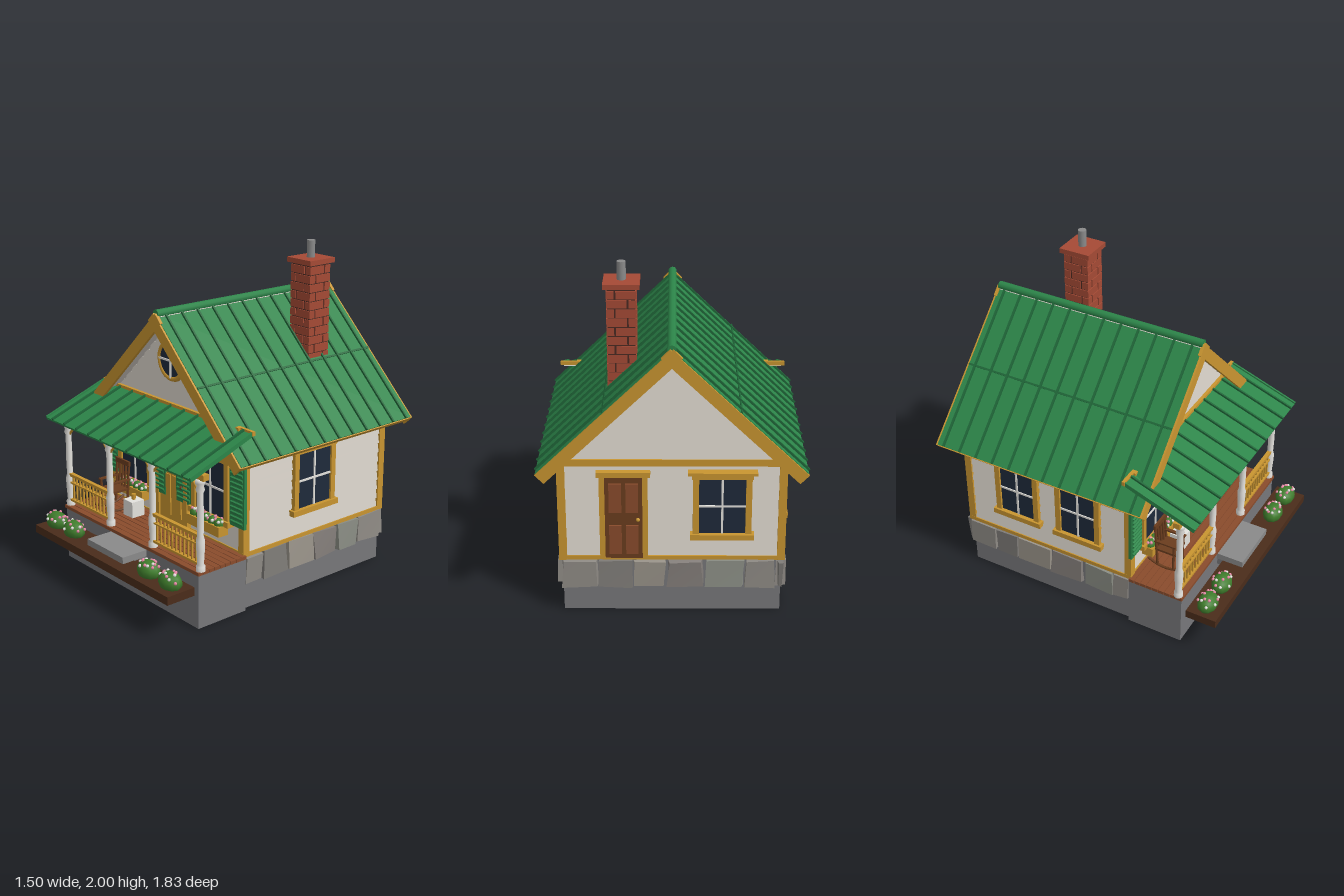
import * as THREE from 'three';

const mat = (color) => new THREE.MeshStandardMaterial({ color });
const M = {
  green: mat(0x2c8549), rib: mat(0x1f6638), gold: mat(0xc99530), siding: mat(0xd5cfc6), white: mat(0xe4e2dd),
  glass: mat(0x1f2a3b), base: mat(0x77777a), deck: mat(0x8a4c2c), soil: mat(0x4a2c1a), wood: mat(0x6b3d1e),
  brick: mat(0xa54a35), mortar: mat(0x4a2a22), leaf: mat(0x3f7d2c), pink: mat(0xe58aa5), metal: mat(0x8a8a8a),
};
const stones = [0x8f8b85, 0x7f7c78, 0x9a948a, 0x86807c, 0x8c8f86].map(mat);
let seed = 7;
const rnd = () => (seed = (seed * 16807) % 2147483647) / 2147483647;

function add(parent, name, geo, material, x = 0, y = 0, z = 0) {
  const m = new THREE.Mesh(geo, material);
  m.name = name;
  m.position.set(x, y, z);
  parent.add(m);
  return m;
}
const box = (p, name, m, w, h, d, x, y, z) => add(p, name, new THREE.BoxGeometry(w, h, d), m, x, y, z);
function group(parent, name, x = 0, y = 0, z = 0, ry = 0) {
  const g = new THREE.Group();
  g.name = name;
  g.position.set(x, y, z);
  g.rotation.y = ry;
  parent.add(g);
  return g;
}
function rod(p, name, m, a, b, r) {
  const A = new THREE.Vector3(...a), d = new THREE.Vector3(...b).sub(A);
  const c = add(p, name, new THREE.CylinderGeometry(r, r, d.length(), 8), m);
  c.position.copy(A).addScaledVector(d, 0.5);
  c.quaternion.setFromUnitVectors(new THREE.Vector3(0, 1, 0), d.normalize());
}

// House dimensions
const HW = 0.62, ZF = 0.34, ZB = -0.78, ZC = (ZF + ZB) / 2, APEX = 1.655, SLOPE = 0.966;
const BH = 0.06;

// Wedge shaped clapboard facing +z
function clapboard(p, len, y, z = 0) {
  const s = new THREE.Shape([[0, 0], [0.014, 0], [0.003, BH], [0, BH]].map((c) => new THREE.Vector2(...c)));
  const g = new THREE.ExtrudeGeometry(s, { depth: len, bevelEnabled: false });
  g.translate(0, 0, -len / 2).rotateY(-Math.PI / 2);
  add(p, 'clapboard', g, M.siding, 0, y, z);
}

// Sash window facing +z, origin at its centre
function windowUnit(p, x, y, z, ry, w = 0.26, h = 0.34) {
  const g = group(p, 'window', x, y, z, ry), t = 0.034;
  box(g, 'windowGlass', M.glass, w, h, 0.02, 0, 0, 0.012);
  for (const s of [-1, 1]) box(g, 'windowSideTrim', M.gold, t, h + 2 * t, 0.04, s * (w + t) / 2, 0, 0.015);
  box(g, 'windowSill', M.gold, w + 0.1, t, 0.055, 0, -(h + t) / 2, 0.02);
  box(g, 'windowHeader', M.gold, w + 0.08, t, 0.045, 0, (h + t) / 2, 0.015);
  box(g, 'windowCap', M.gold, w + 0.125, 0.016, 0.07, 0, h / 2 + t + 0.006, 0.02);
  box(g, 'muntin', M.white, 0.012, h, 0.012, 0, 0, 0.022);
  box(g, 'muntin', M.white, w, 0.012, 0.012, 0, 0, 0.022);
}

// Leafy mound with flower dots
function flowers(p, x, y, z, rx, ry, rz, n) {
  const g = group(p, 'flowerBush', x, y, z);
  add(g, 'leaves', new THREE.SphereGeometry(1, 10, 7), M.leaf).scale.set(rx, ry, rz);
  for (let i = 0; i < n; i++) {
    const a = i * 2.4, e = 0.25 + rnd() * 0.9;
    add(g, 'flower', new THREE.SphereGeometry(0.01, 6, 5), i % 3 ? M.pink : M.white,
      rx * Math.cos(a) * Math.cos(e), ry * Math.sin(e), rz * Math.sin(a) * Math.cos(e));
  }
}

function buildBase(root) {
  const g = group(root, 'foundation');
  box(g, 'houseFoundation', M.base, 2 * HW, 0.335, ZF - ZB, 0, 0.1675, ZC);
  box(g, 'porchFoundation', M.base, 1.29, 0.325, 0.35, 0, 0.1625, 0.515);
  // irregular facing stones, one row per wall
  const row = (x, z, ry, len) => {
    const r = group(g, 'stoneRow', x, 0.245, z, ry);
    for (let u = -len / 2, i = 0; u < len / 2 - 0.03; i++) {
      const w = Math.min(0.14 + rnd() * 0.1, len / 2 - u);
      const geo = new THREE.BoxGeometry(w - 0.015, 0.165, 0.06), P = geo.attributes.position;
      const j = Array.from({ length: 8 }, () => (rnd() - 0.5) * 0.024);
      for (let k = 0; k < P.count; k++) {
        const c = (P.getX(k) > 0 ? 1 : 0) + (P.getY(k) > 0 ? 2 : 0) + (P.getZ(k) > 0 ? 4 : 0);
        P.setXYZ(k, P.getX(k) + j[c], P.getY(k) + j[(c + 3) % 8] * 0.6, P.getZ(k) + j[(c + 5) % 8] * 0.7);
      }
      geo.computeVertexNormals();
      add(r, 'stone', geo, stones[i % 5], u + w / 2, 0, 0);
      u += w;
    }
  };
  row(HW, ZC, Math.PI / 2, 1.14);
  row(-HW, ZC, -Math.PI / 2, 1.14);
  row(0, ZB, Math.PI, 1.26);
}

function buildWalls(root) {
  const g = group(root, 'house');
  const s = new THREE.Shape([[-HW, 0.335], [HW, 0.335], [HW, 1.01], [0, 1.61], [-HW, 1.01]].map((c) => new THREE.Vector2(...c)));
  add(g, 'wallCore', new THREE.ExtrudeGeometry(s, { depth: ZF - ZB - 0.02, bevelEnabled: false }), M.siding, 0, 0, ZB + 0.01);
  for (const k of [1, -1]) {
    const side = group(g, 'sideWall', k * HW, 0, ZC, k * Math.PI / 2);
    for (let y = 0.35; y < 0.93; y += BH) clapboard(side, ZF - ZB, y);
    box(side, 'sillBoard', M.gold, ZF - ZB + 0.03, 0.025, 0.04, 0, 0.343, 0);
    box(side, 'friezeBoard', M.gold, ZF - ZB + 0.03, 0.04, 0.04, 0, 0.94, 0);
    const end = group(g, k > 0 ? 'frontWall' : 'backWall', 0, 0, k > 0 ? ZF - 0.01 : ZB + 0.01, k > 0 ? 0 : Math.PI);
    for (let y = 0.35; y < 1.55; y += BH) clapboard(end, 2 * Math.min(HW, (1.61 - y - BH / 2) / SLOPE), y);
    box(end, 'sillBoard', M.gold, 2 * HW, 0.025, 0.04, 0, 0.343, 0);
    box(end, 'gableBeam', M.gold, 2 * HW + 0.02, 0.04, 0.045, 0, 0.94, 0);
    for (const e of [1, -1]) box(g, 'cornerBoard', M.gold, 0.045, 0.6, 0.045, k * (HW - 0.003), 0.635, e > 0 ? ZF - 0.008 : ZB + 0.008);
  }
  windowUnit(g, HW, 0.69, -0.19, Math.PI / 2);
  for (const z of [-0.42, 0.0]) windowUnit(g, -HW, 0.69, z, -Math.PI / 2, 0.23);
  windowUnit(g, -0.28, 0.68, ZB, Math.PI);
  // back door
  const b = group(g, 'backDoor', 0.27, 0, ZB, Math.PI);
  box(b, 'doorLeaf', M.wood, 0.21, 0.51, 0.03, 0, 0.605, 0.008);
  for (const s of [-1, 1]) {
    box(b, 'doorTrim', M.gold, 0.03, 0.54, 0.045, s * 0.12, 0.62, 0.012);
    for (const y of [0.47, 0.73]) box(b, 'doorPanel', M.deck, 0.07, 0.18, 0.01, s * 0.047, y, 0.025);
  }
  box(b, 'doorHeader', M.gold, 0.3, 0.03, 0.05, 0, 0.88, 0.015);
  add(b, 'doorKnob', new THREE.SphereGeometry(0.012, 8, 6), M.gold, 0.08, 0.6, 0.035);
  // front door
  const d = group(g, 'frontDoor', 0, 0, ZF);
  box(d, 'doorLeaf', M.gold, 0.24, 0.53, 0.03, 0, 0.61, 0.005);
  box(d, 'doorGlass', M.glass, 0.15, 0.15, 0.01, 0, 0.79, 0.02);
  box(d, 'doorMuntin', M.gold, 0.01, 0.15, 0.012, 0, 0.79, 0.022);
  for (const s of [-1, 1]) {
    box(d, 'doorTrim', M.gold, 0.035, 0.55, 0.045, s * 0.135, 0.62, 0.01);
    box(d, 'doorPanel', M.gold, 0.08, 0.26, 0.012, s * 0.05, 0.52, 0.022);
  }
  box(d, 'doorHeader', M.gold, 0.33, 0.03, 0.05, 0, 0.9, 0.012);
  add(d, 'doorKnob', new THREE.SphereGeometry(0.012, 8, 6), M.wood, 0.1, 0.6, 0.03);
  // front windows with louvred shutters and flower boxes
  for (const s of [-1, 1]) {
    windowUnit(g, s * 0.36, 0.69, ZF, 0);
    for (const [x, w] of [[0.598, 0.125], [0.122, 0.14]]) {
      const sh = group(g, 'shutter', s * x, 0.695, ZF + 0.02);
      box(sh, 'shutterPanel', M.green, w, 0.37, 0.02, 0, 0, 0);
      for (let i = 0; i < 12; i++) box(sh, 'louvre', M.green, w - 0.025, 0.02, 0.01, 0, -0.16 + i * 0.029, 0.01).rotation.x = 0.5;
    }
    box(g, 'flowerBox', M.gold, 0.29, 0.06, 0.07, s * 0.36, 0.46, ZF + 0.05);
    for (let i = -2; i <= 2; i++) flowers(g, s * 0.36 + i * 0.054, 0.495, ZF + 0.05, 0.034, 0.034, 0.03, 6);
  }
  // round gable window
  const r = group(g, 'roundWindow', 0, 1.355, ZF + 0.01);
  add(r, 'roundGlass', new THREE.CylinderGeometry(0.105, 0.105, 0.02, 24).rotateX(Math.PI / 2), M.glass);
  add(r, 'roundFrame', new THREE.TorusGeometry(0.11, 0.017, 8, 24), M.gold);
  box(r, 'muntin', M.white, 0.012, 0.21, 0.015, 0, 0, 0.01);
  box(r, 'muntin', M.white, 0.21, 0.012, 0.015, 0, 0, 0.01);
  // wall lantern
  const l = group(g, 'lantern', 0.205, 0.72, ZF + 0.05);
  add(l, 'lanternGlass', new THREE.CylinderGeometry(0.02, 0.014, 0.06, 6), M.glass);
  add(l, 'lanternCap', new THREE.ConeGeometry(0.026, 0.02, 6), M.gold, 0, 0.04, 0);
  rod(l, 'lanternArm', M.gold, [0, 0.045, 0], [0, 0.045, -0.05], 0.006);
}

function buildRoof(root) {
  const zc = -0.22, len = 1.37, L = Math.hypot(0.745, 0.72);
  for (const k of [1, -1]) {
    const g = group(root, 'roofSide', 0, APEX, zc, k > 0 ? 0 : Math.PI);
    const r = group(g, 'roofSlope');
    r.rotation.z = -Math.atan(SLOPE);
    box(r, 'roofPanel', M.green, L, 0.016, len, L / 2, -0.012, 0);
    box(r, 'soffit', M.siding, L - 0.02, 0.012, len - 0.02, L / 2 - 0.01, -0.026, 0);
    box(r, 'panelJoint', M.rib, 0.012, 0.008, len, L / 2, -0.003, 0);
    for (let i = 0; i < 12; i++) box(r, 'standingSeam', M.rib, L, 0.016, 0.012, L / 2, 0, k * (-0.86 + i * 0.115 - zc));
    for (const e of [-1, 1]) box(r, 'bargeboard', M.gold, L + 0.01, 0.07, 0.02, L / 2, -0.042, e * (len / 2 + 0.002));
    box(r, 'eaveFascia', M.gold, 0.016, 0.03, len, L - 0.002, -0.025, 0);
  }
  add(root, 'ridgeCap', new THREE.CylinderGeometry(0.025, 0.025, len, 10).rotateX(Math.PI / 2), M.green, 0, APEX - 0.006, zc);
  // chimney with staggered brick courses
  const c = group(root, 'chimney', 0.275, 0, -0.485);
  box(c, 'mortarCore', M.mortar, 0.152, 0.65, 0.152, 0, 1.555, 0);
  for (let i = 0; i < 12; i++) {
    const s = i % 2 ? 0.035 : -0.035;
    for (const a of [-1, 1]) for (const b of [-1, 1]) {
      const w = 0.08 - a * s - 0.003, d = 0.08 + b * s - 0.003;
      box(c, 'brick', M.brick, w, 0.046, d, a * (0.082 - w / 2), 1.255 + i * 0.0525, b * (0.082 - d / 2));
    }
  }
  box(c, 'chimneyCap', M.brick, 0.2, 0.03, 0.2, 0, 1.883, 0);
  add(c, 'fluePipe', new THREE.CylinderGeometry(0.025, 0.025, 0.12, 12), M.metal, 0, 1.94, 0);
}

function buildPorch(root) {
  const g = group(root, 'porch');
  for (let i = 0; i < 9; i++) box(g, 'deckBoard', M.deck, 1.31, 0.02, 0.036, 0, 0.336, 0.363 + i * 0.0395);
  // sloping porch roof
  const r = group(g, 'porchRoof', 0, 1.0, 0.56);
  r.rotation.x = Math.atan(0.16 / 0.44);
  box(r, 'porchRoofPanel', M.green, 1.39, 0.014, 0.465, 0, 0, 0);
  box(r, 'porchCeiling', M.siding, 1.36, 0.01, 0.45, 0, -0.011, 0);
  for (let i = -5; i <= 5; i++) box(r, 'standingSeam', M.rib, 0.012, 0.016, 0.465, i * 0.125, 0.011, 0);
  for (const s of [-1, 1]) box(r, 'edgeSeam', M.green, 0.012, 0.026, 0.465, s * 0.69, 0.003, 0);
  for (const s of [-1, 1]) box(g, 'ledgerEnd', M.gold, 0.16, 0.025, 0.02, s * 0.62, 1.085, 0.337);
  box(g, 'ledger', M.gold, 1.2, 0.025, 0.02, 0, 1.085, 0.352);
  box(g, 'porchBeam', M.gold, 1.37, 0.035, 0.04, 0, 0.905, 0.665);
  // turned posts and corner brackets
  const profile = [[0.027, 0], [0.027, 0.03], [0.019, 0.04], [0.024, 0.12], [0.026, 0.18], [0.018, 0.21], [0.02, 0.3],
    [0.018, 0.46], [0.026, 0.48], [0.02, 0.5], [0.03, 0.52], [0.03, 0.545], [0, 0.545]].map((c) => new THREE.Vector2(...c));
  for (const x of [-0.635, -0.207, 0.207, 0.635]) {
    add(g, 'post', new THREE.LatheGeometry(profile, 14), M.white, x, 0.345, 0.665);
    for (const s of [-1, 1]) if (Math.abs(x + s * 0.1) < 0.64) rod(g, 'bracket', M.gold, [x, 0.8, 0.665], [x + s * 0.09, 0.89, 0.665], 0.008);
  }
  // railings
  for (const s of [-1, 1]) {
    for (const [y, h] of [[0.55, 0.018], [0.5, 0.01], [0.385, 0.014]]) box(g, 'rail', M.gold, 0.41, h, 0.025, s * 0.421, y, 0.665);
    for (let i = 0; i < 11; i++) box(g, 'baluster', M.gold, 0.01, 0.17, 0.01, s * (0.246 + i * 0.035), 0.465, 0.665);
  }
  // step and front flower bed
  box(g, 'step', M.metal, 0.35, 0.04, 0.17, 0, 0.3, 0.775);
  box(g, 'stepRiser', M.base, 0.33, 0.06, 0.08, 0, 0.26, 0.73);
  box(g, 'flowerBed', M.soil, 1.31, 0.05, 0.19, 0, 0.245, 0.82);
  for (const x of [-0.56, -0.375, 0.365, 0.56]) flowers(g, x, 0.3, 0.82, 0.08, 0.06, 0.06, 14);
  // small side table with a cup
  box(g, 'sideTable', M.white, 0.09, 0.1, 0.09, -0.24, 0.4, 0.47);
  add(g, 'cup', new THREE.CylinderGeometry(0.014, 0.012, 0.035, 10), M.gold, -0.24, 0.467, 0.47);
  // rocking chair
  const c = group(g, 'rockingChair', -0.41, 0.345, 0.49);
  box(c, 'seat', M.wood, 0.13, 0.014, 0.13, 0, 0.13, 0);
  for (const s of [-1, 1]) {
    const x = s * 0.06;
    rod(c, 'backPost', M.wood, [x, 0.02, -0.05], [x, 0.305, -0.07], 0.008);
    rod(c, 'frontLeg', M.wood, [x, 0.02, 0.055], [x, 0.185, 0.055], 0.008);
    box(c, 'armRest', M.wood, 0.02, 0.01, 0.14, x, 0.19, 0);
    add(c, 'rocker', new THREE.TorusGeometry(0.2, 0.008, 6, 12, 1.2).rotateZ(-Math.PI / 2 - 0.6).rotateY(Math.PI / 2), M.wood, x, 0.208, 0);
  }
  for (let i = -1; i <= 1; i++) rod(c, 'backSlat', M.wood, [i * 0.03, 0.13, -0.057], [i * 0.03, 0.28, -0.068], 0.008);
  box(c, 'topRail', M.wood, 0.14, 0.03, 0.014, 0, 0.29, -0.068);
}

export function createModel() {
  const root = new THREE.Group();
  root.name = 'cottage';
  buildBase(root);
  buildWalls(root);
  buildRoof(root);
  buildPorch(root);
  return root;
}
